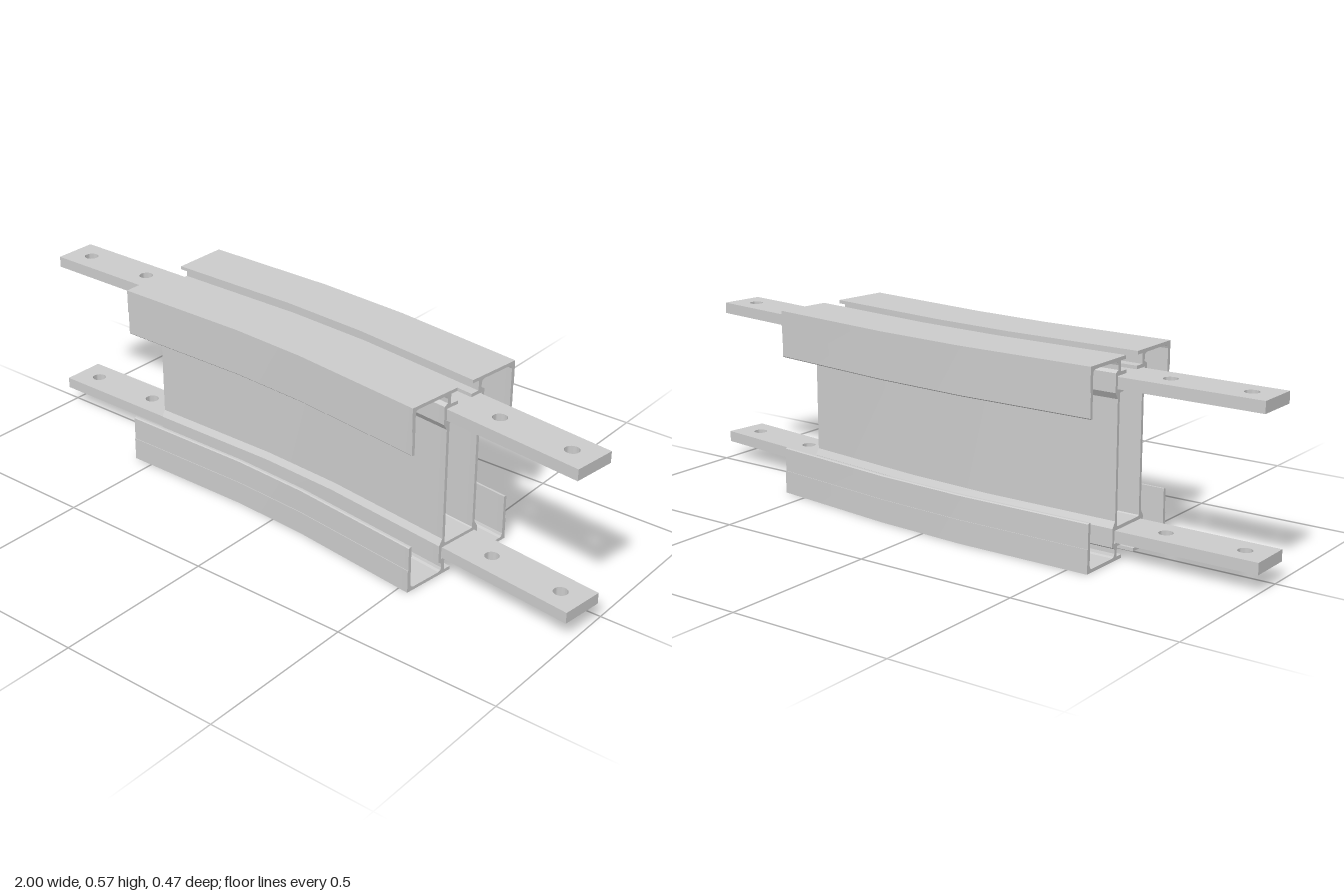
import * as THREE from 'three';
import { toCreasedNormals } from 'three/addons/utils/BufferGeometryUtils.js';

const MID = 0.285;                       // mid height of the profile
const BEND = THREE.MathUtils.degToRad(7); // horizontal bend of the rail
const ARC_X = -0.136, ARC_SPAN = 0.27, PATH_Z = -0.0335;
const RADIUS = ARC_SPAN / Math.sin(BEND);
const START_X = -0.565, END_RUN = 0.426;
const material = new THREE.MeshStandardMaterial({ color: 0xcccccc });

// Point on the bent centre line at angle a, plus a straight run past it
function station(a, run) {
  return {
    a,
    x: ARC_X + RADIUS * Math.sin(a) + run * Math.cos(a),
    z: PATH_Z + RADIUS * (1 - Math.cos(a)) + run * Math.sin(a),
  };
}

// Mirror a quarter outline (upper right, clockwise) into a counter-clockwise loop
function mirrorQuarter(quarter) {
  const lower = quarter.map(([w, y]) => [w, 2 * MID - y]).reverse();
  const right = [...quarter, ...lower];
  const left = right.map(([w, y]) => [-w, y]).reverse();
  return [...right, ...left].map(([w, y]) => new THREE.Vector2(w, y)).reverse();
}

// Cross-section: channel, top plates, hanging lips and the box web
function railShape() {
  const shape = new THREE.Shape(mirrorQuarter([
    // channel that holds the joining bar
    [0.069, 0.483], [0.069, 0.52], [0.027, 0.52], [0.027, 0.53],
    // upper slot
    [0.055, 0.53], [0.055, 0.56], [0.031, 0.56], [0.031, 0.57],
    // top plate and outer lip with its small step
    [0.203, 0.57], [0.203, 0.5], [0.201, 0.5], [0.201, 0.43], [0.198, 0.427], [0.191, 0.427],
    // pocket under the plate
    [0.191, 0.549], [0.188, 0.557], [0.18, 0.56], [0.078, 0.56], [0.07, 0.557], [0.067, 0.549],
    // outside of the channel and the web
    [0.067, 0.536], [0.079, 0.529], [0.079, 0.475], [0.067, 0.456],
  ]));
  shape.holes.push(new THREE.Path(mirrorQuarter([[0.054, 0.473], [0.057, 0.47]])));
  return shape;
}

// Extrude the profile, then lay every ring on its station of the path
function railGeometry() {
  const stations = [
    station(0, START_X - ARC_X), station(0, 0), station(BEND, 0), station(BEND, END_RUN),
  ];
  const steps = stations.length - 1;
  const geo = new THREE.ExtrudeGeometry(railShape(), { depth: steps, steps, bevelEnabled: false });
  const p = geo.attributes.position;
  for (let i = 0; i < p.count; i++) {
    const s = stations[Math.round(p.getZ(i))];
    const w = -p.getX(i);
    p.setXYZ(i, s.x - w * Math.sin(s.a), p.getY(i), s.z + w * Math.cos(s.a));
  }
  return toCreasedNormals(geo, 0.3);
}

// Flat joining bar with two bolt holes, running along +x from the origin
function barGeometry() {
  const length = 0.864, half = 0.067, thickness = 0.034;
  const shape = new THREE.Shape([
    new THREE.Vector2(0, -half), new THREE.Vector2(length, -half),
    new THREE.Vector2(length, half), new THREE.Vector2(0, half),
  ]);
  for (const x of [0.55, 0.79]) {
    shape.holes.push(new THREE.Path().absarc(x, 0, 0.021, 0, Math.PI * 2, true));
  }
  const geo = new THREE.ExtrudeGeometry(shape, { depth: thickness, bevelEnabled: false, curveSegments: 24 });
  geo.rotateX(-Math.PI / 2).translate(0, -thickness / 2, 0);
  return toCreasedNormals(geo, 0.5);
}

export function createModel() {
  const model = new THREE.Group();
  model.name = 'bentBeam';

  const rail = new THREE.Mesh(railGeometry(), material);
  rail.name = 'beamProfile';
  model.add(rail);

  // Joining bars: upper and lower, one pair per end
  const bar = barGeometry();
  const ends = [
    { name: 'rightJoiningBar', at: station(0, 0), turn: Math.PI },
    { name: 'leftJoiningBar', at: station(BEND, 0), turn: -BEND },
  ];
  for (const { name, at, turn } of ends) {
    for (const [level, y] of [['Upper', 0.5], ['Lower', 0.07]]) {
      const mesh = new THREE.Mesh(bar, material);
      mesh.name = name + level;
      mesh.position.set(at.x, y, at.z);
      mesh.rotation.y = turn;
      model.add(mesh);
    }
  }
  return model;
}
